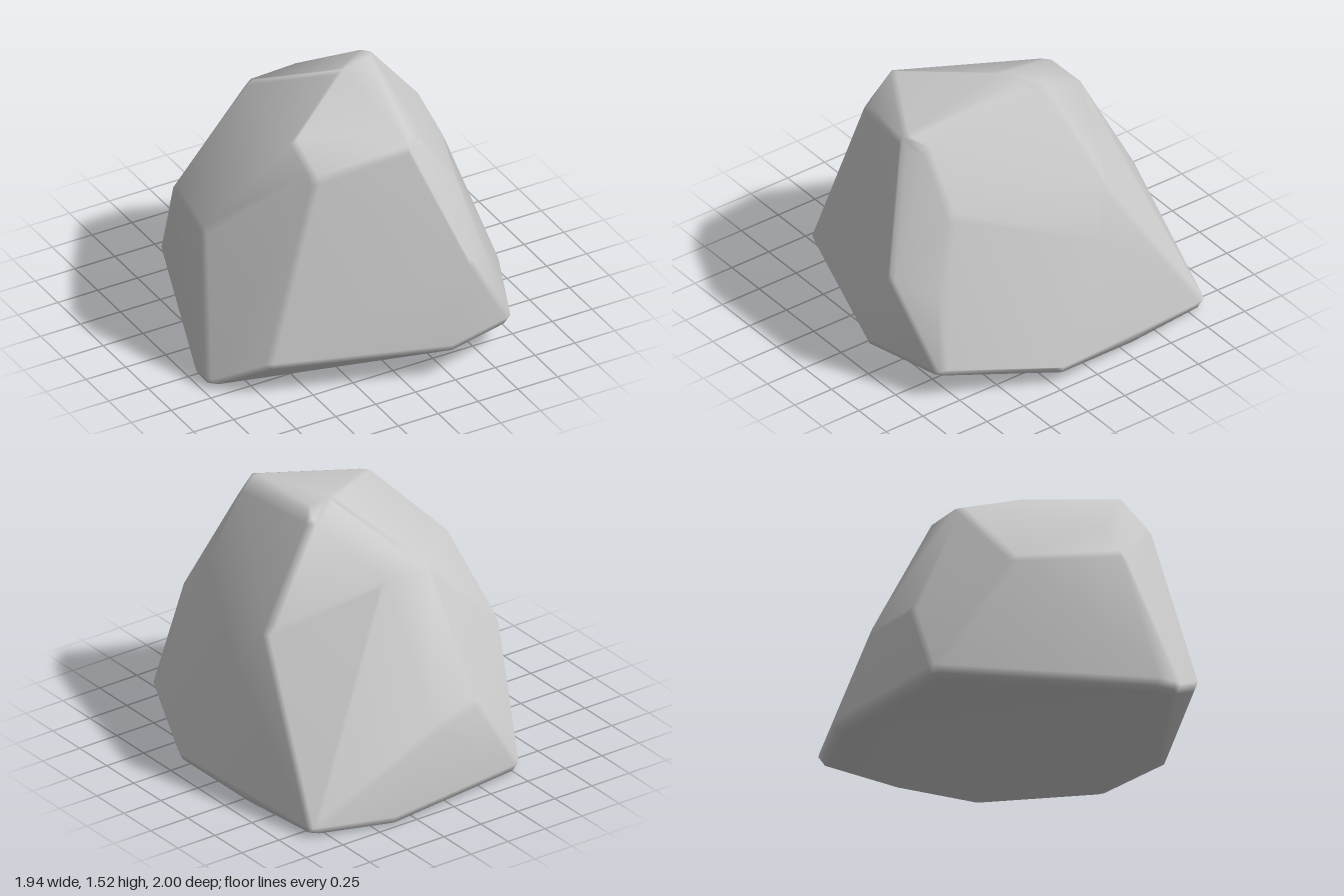
import * as THREE from 'three';
import { ConvexGeometry } from 'three/addons/geometries/ConvexGeometry.js';
import { mergeVertices } from 'three/addons/utils/BufferGeometryUtils.js';

// Corners where the broad chiselled faces of the boulder meet
const crown = [
  [0.27, 1.53, -0.01], [0.33, 1.49, -0.12], [0.11, 1.51, 0.02], [0.14, 1.38, 0.68], [0.24, 1.35, 0.63],
  [-0.40, 1.38, 0.37], [-0.38, 1.26, 0.54], [0.13, 1.24, -0.53], [-0.17, 1.22, -0.54],
];
const shoulders = [
  [0.73, 1.0, -0.26], [0.83, 0.75, -0.15], [0.47, 1.01, 0.63], [0.39, 0.68, 0.95], [0.56, 0.6, 0.77],
  [-0.75, 1.0, 0.08], [-0.84, 0.82, 0.12], [-0.68, 0.72, -0.48], [0.08, 0.45, -0.95], [-0.26, 0.48, -0.87],
];
const foot = [
  [0.25, 0.21, 1.02], [0.68, 0.17, 0.84], [0.98, 0.09, 0.22], [0.83, 0.01, -0.84],
  [0.41, 0.01, -1.02], [-0.51, 0.01, -0.88], [-0.99, 0.02, 0.29], [-0.97, 0, 0.4],
  [-0.74, 0.19, 0.64], [0.89, 0, -0.34],
];

const EDGE = 0.06; // radius of the worn edges
const inner = new THREE.Box3(
  new THREE.Vector3(-0.97, 0, -1).addScalar(EDGE),
  new THREE.Vector3(0.97, 1.52, 1).subScalar(EDGE),
);

// Convex hull of small balls set just inside each corner, giving worn edges
function wornHull(corners) {
  const ball = new THREE.OctahedronGeometry(EDGE, 1).attributes.position;
  const centre = new THREE.Vector3(0, 0.6, 0);
  const points = new Map();
  for (const corner of corners) {
    const core = new THREE.Vector3(...corner);
    core.addScaledVector(centre.clone().sub(core).normalize(), EDGE);
    inner.clampPoint(core, core);
    for (let i = 0; i < ball.count; i++) {
      const p = new THREE.Vector3().fromBufferAttribute(ball, i).add(core);
      points.set(p.toArray().map((v) => v.toFixed(4)).join(), p);
    }
  }
  const hull = new ConvexGeometry([...points.values()]);
  hull.deleteAttribute('normal');
  const smooth = mergeVertices(hull, 1e-4);
  smooth.computeVertexNormals();
  return smooth;
}

export function createModel() {
  const group = new THREE.Group();
  group.name = 'rock';
  const boulder = new THREE.Mesh(
    wornHull([...crown, ...shoulders, ...foot]),
    new THREE.MeshStandardMaterial({ color: 0xcccccc }),
  );
  boulder.name = 'boulder';
  group.add(boulder);
  return group;
}
